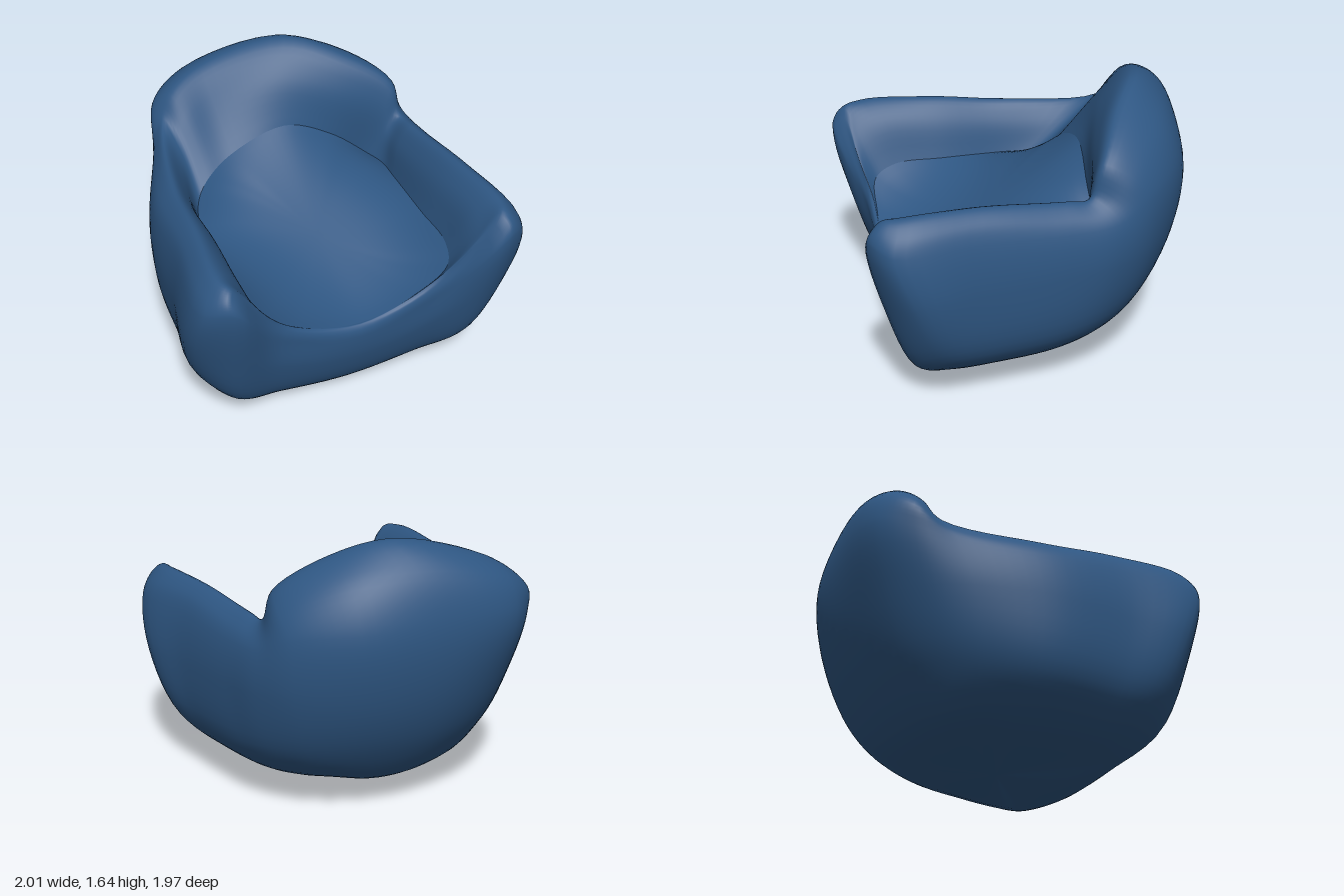
import * as THREE from 'three';
import { mergeVertices } from 'three/addons/utils/BufferGeometryUtils.js';

const AROUND = 108; // steps round each loop
const ACROSS = 6; // steps from one loop to the next

// Closed smooth loop: front centre, side points (mirrored), explicit back points from +x to -x
function loop(front, side, back) {
  const mirrored = side.map(([x, y, z]) => [-x, y, z]).reverse();
  const pts = [front, ...side, ...back, ...mirrored].map((p) => new THREE.Vector3(...p));
  const curve = new THREE.CatmullRomCurve3(pts, true);
  return Array.from({ length: AROUND }, (_, j) => curve.getPoint(j / AROUND));
}

// Surface through rows of points, each row closed on itself
function skin(rows) {
  const pos = rows.flat().flatMap((p) => [p.x, p.y, p.z]);
  const index = [];
  for (let i = 0; i < rows.length - 1; i++) {
    for (let j = 0; j < AROUND; j++) {
      const a = i * AROUND + j;
      const b = i * AROUND + ((j + 1) % AROUND);
      index.push(a, b, b + AROUND, a, b + AROUND, a + AROUND);
    }
  }
  let geo = new THREE.BufferGeometry();
  geo.setAttribute('position', new THREE.Float32BufferAttribute(pos, 3));
  geo.setIndex(index);
  geo = mergeVertices(geo, 1e-5);
  geo.computeVertexNormals();
  return geo;
}

// Loops of the padded shell, from the underside over the rim to the seat
const underside = loop([0, 0.0, 0.53],
  [[0.33, 0.03, 0.52], [0.52, 0.09, 0.52], [0.62, 0.13, 0.43], [0.62, 0.14, 0.25], [0.56, 0.14, -0.05]],
  [[0.5, 0.17, -0.25], [0.4, 0.19, -0.39], [0.2, 0.16, -0.47], [0, 0.15, -0.49], [-0.2, 0.16, -0.47],
    [-0.36, 0.17, -0.42], [-0.48, 0.18, -0.3]]);
const lowerSide = loop([0, 0.12, 0.69],
  [[0.45, 0.16, 0.69], [0.72, 0.23, 0.72], [0.88, 0.34, 0.58], [0.87, 0.35, 0.3], [0.83, 0.37, -0.1]],
  [[0.76, 0.4, -0.34], [0.62, 0.42, -0.53], [0.34, 0.42, -0.69], [0, 0.42, -0.75], [-0.31, 0.42, -0.7],
    [-0.51, 0.42, -0.59], [-0.67, 0.41, -0.42]]);
const middle = loop([0, 0.35, 0.79],
  [[0.48, 0.45, 0.8], [0.8, 0.68, 0.89], [0.99, 0.73, 0.74], [0.95, 0.75, 0.36], [0.91, 0.78, -0.1]],
  [[0.87, 0.8, -0.38], [0.75, 0.81, -0.61], [0.44, 0.8, -0.83], [0, 0.8, -0.92], [-0.38, 0.8, -0.88],
    [-0.59, 0.8, -0.74], [-0.74, 0.8, -0.52]]);
const upperSide = loop([0, 0.52, 0.815],
  [[0.48, 0.64, 0.82], [0.81, 1.07, 0.975], [0.96, 1.04, 0.85], [0.92, 1.05, 0.36], [0.88, 1.03, -0.12]],
  [[0.85, 1.05, -0.39], [0.77, 1.15, -0.6], [0.48, 1.2, -0.85], [0, 1.2, -0.97], [-0.43, 1.18, -0.98],
    [-0.62, 1.12, -0.83], [-0.71, 1.06, -0.6]]);
const shoulder = loop([0, 0.56, 0.81],
  [[0.47, 0.7, 0.82], [0.81, 1.15, 0.94], [0.91, 1.15, 0.82], [0.87, 1.16, 0.36], [0.83, 1.12, -0.11]],
  [[0.8, 1.14, -0.32], [0.77, 1.28, -0.47], [0.48, 1.45, -0.71], [0.05, 1.49, -0.87], [-0.41, 1.39, -0.92],
    [-0.62, 1.27, -0.83], [-0.67, 1.15, -0.65]]);
const crest = loop([0, 0.58, 0.8],
  [[0.46, 0.73, 0.81], [0.78, 1.18, 0.89], [0.83, 1.21, 0.79], [0.79, 1.21, 0.36], [0.75, 1.17, -0.1]],
  [[0.74, 1.17, -0.25], [0.72, 1.35, -0.32], [0.45, 1.54, -0.47], [0.15, 1.63, -0.64], [-0.35, 1.49, -0.75],
    [-0.54, 1.35, -0.73], [-0.62, 1.21, -0.66]]);
const innerSlope = loop([0, 0.59, 0.79],
  [[0.42, 0.72, 0.79], [0.67, 1.03, 0.84], [0.71, 1.11, 0.71], [0.69, 1.1, 0.34], [0.67, 1.06, -0.1]],
  [[0.67, 1.06, -0.23], [0.65, 1.21, -0.28], [0.38, 1.37, -0.37], [0.05, 1.46, -0.49], [-0.33, 1.36, -0.6],
    [-0.49, 1.22, -0.6], [-0.57, 1.1, -0.5]]);
const seatEdge = loop([0, 0.59, 0.78],
  [[0.36, 0.68, 0.775], [0.56, 0.8, 0.75], [0.61, 0.86, 0.62], [0.61, 0.87, 0.33], [0.62, 0.87, -0.05]],
  [[0.62, 0.87, -0.22], [0.56, 0.9, -0.31], [0.32, 1.09, -0.34], [0.04, 1.2, -0.37], [-0.3, 1.1, -0.36],
    [-0.46, 0.98, -0.34], [-0.55, 0.9, -0.27]]);

// Saddle height of the seat: low at the front, swept up to the back, level at the sides
function seatHeight(x, z) {
  const middleLine = 0.59 + 0.61 * Math.max(0, (0.78 - z) / 1.15) ** 1.45;
  return middleLine + (0.87 - middleLine) * (x / 0.61) ** 2;
}

export function createModel() {
  const group = new THREE.Group();
  const fabric = new THREE.MeshStandardMaterial({ color: 0x2e5682 });
  fabric.name = 'blueFabric';
  const add = (name, geo) => {
    const mesh = new THREE.Mesh(geo, fabric);
    mesh.name = name;
    group.add(mesh);
  };

  // Shell: base, arms and backrest in one soft skin
  const base = Array.from({ length: AROUND }, () => new THREE.Vector3(0, 0.07, 0.1));
  const loops = [base, underside, lowerSide, middle, upperSide, shoulder, crest, innerSlope, seatEdge];
  const ribs = base.map((_, j) => new THREE.CatmullRomCurve3(loops.map((l) => l[j])));
  const steps = (loops.length - 1) * ACROSS;
  add('shell', skin(Array.from({ length: steps + 1 }, (_, i) => ribs.map((r) => r.getPoint(i / steps)))));

  // Seat: saddle panel that meets the shell along its edge
  add('seat', skin(Array.from({ length: 15 }, (_, i) => {
    const t = 1 - i / 14;
    return seatEdge.map((p) => {
      const x = p.x * t;
      const z = 0.2 + (p.z - 0.2) * t;
      return new THREE.Vector3(x, seatHeight(x, z) + (p.y - seatHeight(p.x, p.z)) * t ** 3, z);
    });
  })));
  return group;
}
